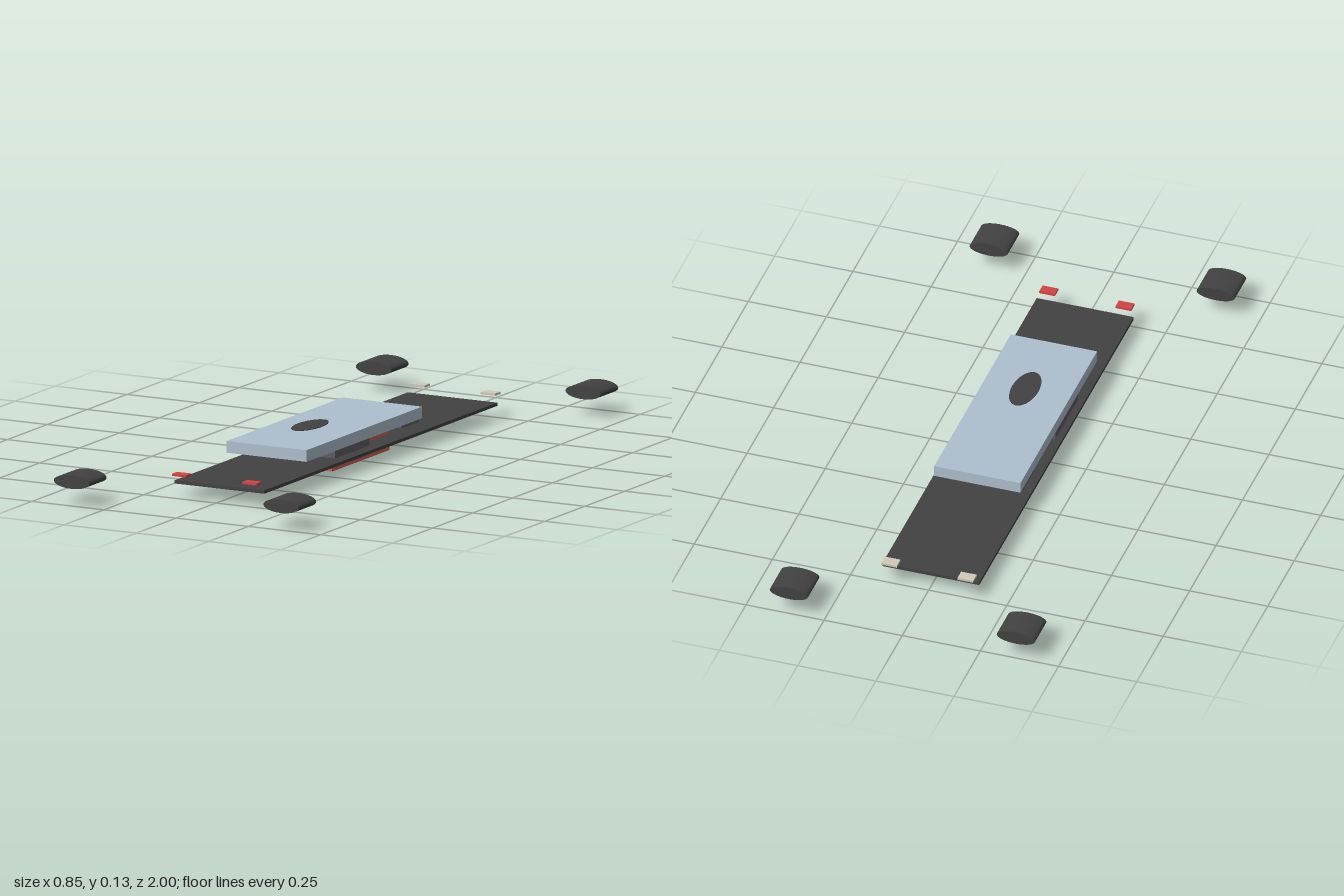
import * as THREE from 'three';

const paint = (name, color) => {
  const m = new THREE.MeshStandardMaterial({ color });
  m.name = name;
  return m;
};

export function createModel() {
  const model = new THREE.Group();
  model.name = 'vehicle';

  const charcoal = paint('charcoal', 0x424242);
  const glass = paint('pale blue', 0xafbfce);
  const red = paint('brick red', 0xcc6058);
  const lampRed = paint('lamp red', 0xd24444);
  const lampWhite = paint('lamp white', 0xcfcab8);
  const seatGrey = paint('seat grey', 0x5f5c66);

  // Box given by its minimum and maximum corners
  const box = (name, material, [x0, y0, z0], [x1, y1, z1]) => {
    const mesh = new THREE.Mesh(new THREE.BoxGeometry(x1 - x0, y1 - y0, z1 - z0), material);
    mesh.position.set((x0 + x1) / 2, (y0 + y1) / 2, (z0 + z1) / 2);
    mesh.name = name;
    model.add(mesh);
  };

  // Body
  box('floorPlate', charcoal, [-0.155, 0.041, -0.73], [0.155, 0.051, 0.73]);
  box('underBlock', red, [-0.086, 0, -0.18], [0.086, 0.06, 0.18]);
  box('canopy', glass, [-0.138, 0.083, -0.29], [0.138, 0.119, 0.435]);
  box('dashboard', seatGrey, [-0.138, 0.075, -0.27], [0.138, 0.083, -0.16]);

  // Seats and lamps on both sides
  for (const s of [-1, 1]) {
    const pair = (name, material, xa, xb, y0, y1, z0, z1) =>
      box(name, material, [Math.min(s * xa, s * xb), y0, z0], [Math.max(s * xa, s * xb), y1, z1]);
    pair('seat', seatGrey, 0.036, 0.138, 0.06, 0.083, 0.04, 0.255);
    pair('redLamp', lampRed, 0.097, 0.147, 0.071, 0.078, 0.73, 0.762);
    pair('whiteLamp', lampWhite, 0.097, 0.147, 0.071, 0.078, -0.765, -0.73);
  }

  // Flattened wheels, axles along z
  const wheelGeometry = new THREE.CylinderGeometry(1, 1, 0.11, 32).rotateX(Math.PI / 2).scale(0.061, 0.021, 1);
  for (const x of [-0.363, 0.363]) {
    for (const z of [-0.945, 0.945]) {
      const wheel = new THREE.Mesh(wheelGeometry, charcoal);
      wheel.position.set(x, 0.074, z);
      wheel.name = 'wheel';
      model.add(wheel);
    }
  }

  // Thin oval disc hovering above the canopy
  const disc = new THREE.Mesh(new THREE.CylinderGeometry(1, 1, 0.002, 32).scale(0.042, 1, 0.09), charcoal);
  disc.position.set(0, 0.132, 0.163);
  disc.name = 'roofDisc';
  model.add(disc);

  return model;
}
